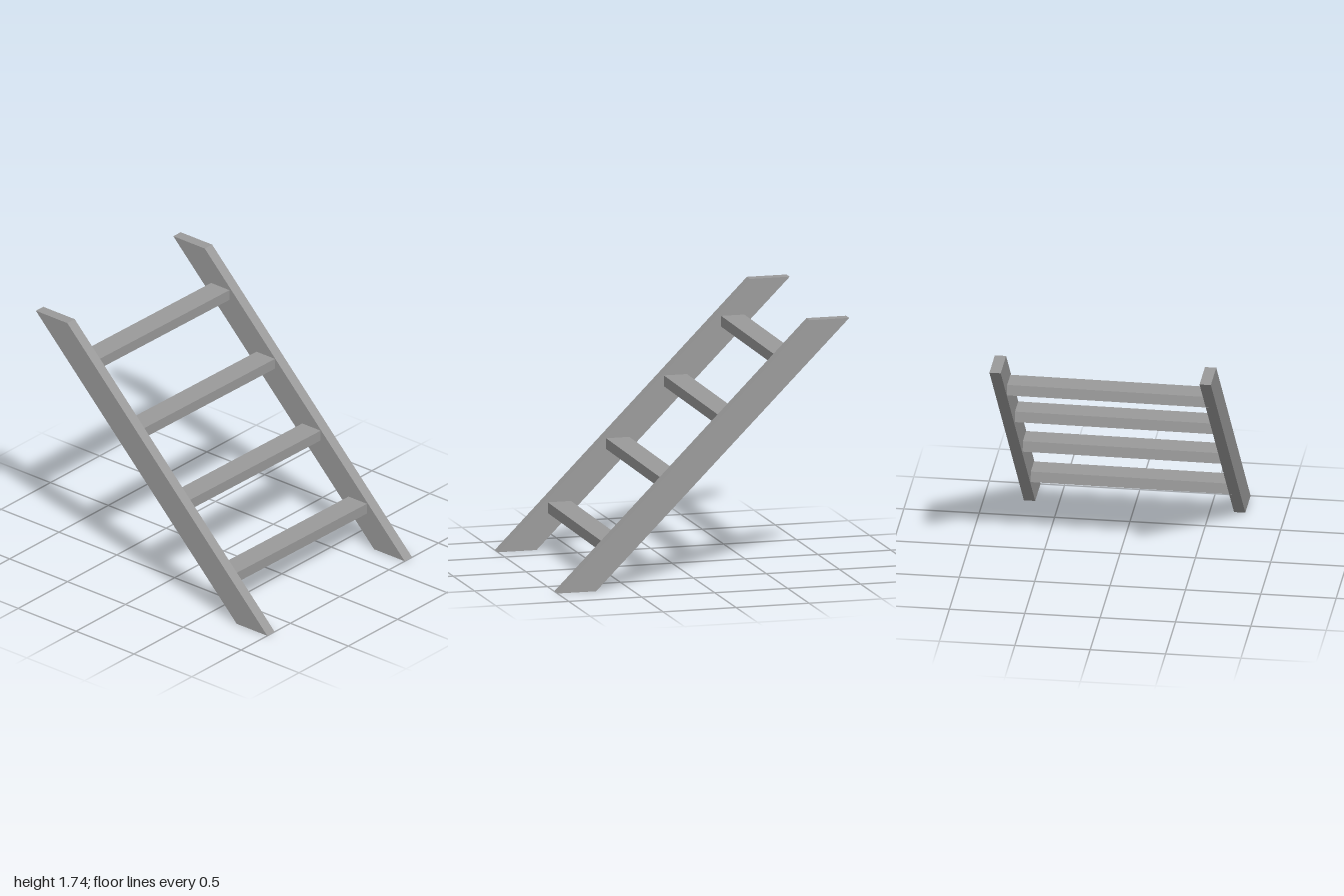
import * as THREE from 'three';

const material = new THREE.MeshStandardMaterial({
  color: 0x9a9a9a, flatShading: true, side: THREE.DoubleSide,
});

// Extrudes a side profile of [z, y] points along x, centred on x = 0
function sideExtrude(points, width) {
  const shape = new THREE.Shape(points.map(([z, y]) => new THREE.Vector2(-z, y)));
  const geometry = new THREE.ExtrudeGeometry(shape, { depth: width, bevelEnabled: false });
  geometry.translate(0, 0, -width / 2);
  geometry.rotateY(Math.PI / 2);
  return geometry;
}

// Drops the triangles lying on the ground, leaving a hollow foot
function openFoot(geometry) {
  const p = geometry.attributes.position;
  const kept = [];
  for (let i = 0; i < p.count; i += 3) {
    if (Math.max(p.getY(i), p.getY(i + 1), p.getY(i + 2)) > 0.001) kept.push(i, i + 1, i + 2);
  }
  geometry.clearGroups();
  geometry.setIndex(kept);
  return geometry;
}

export function createModel() {
  const ladder = new THREE.Group();
  ladder.name = 'ladder';

  // Slanted side rails with a level head and an open foot
  const railGeometry = openFoot(
    sideExtrude([[1, 0], [0.735, 0], [-1, 1.735], [-0.728, 1.735]], 0.075));
  for (const side of [-1, 1]) {
    const rail = new THREE.Mesh(railGeometry, material);
    rail.name = side > 0 ? 'leftRail' : 'rightRail';
    rail.position.x = side * 0.697;
    ladder.add(rail);
  }

  // Flat treads, slightly askew, with a back edge that leans forward
  const treadGeometry = sideExtrude(
    [[0.085, -0.036], [-0.083, -0.036], [-0.074, 0.036], [0.085, 0.036]], 1.36);
  const positions = treadGeometry.attributes.position;
  for (let i = 0; i < positions.count; i++) {
    positions.setZ(i, positions.getZ(i) + positions.getX(i) * 0.0115);
  }
  treadGeometry.computeVertexNormals();
  [[0.28, 0.581], [0.687, 0.181], [1.086, -0.214], [1.463, -0.607]].forEach(([y, z], i) => {
    const tread = new THREE.Mesh(treadGeometry, material);
    tread.name = `tread${i + 1}`;
    tread.position.set(0, y, z);
    ladder.add(tread);
  });

  return ladder;
}
